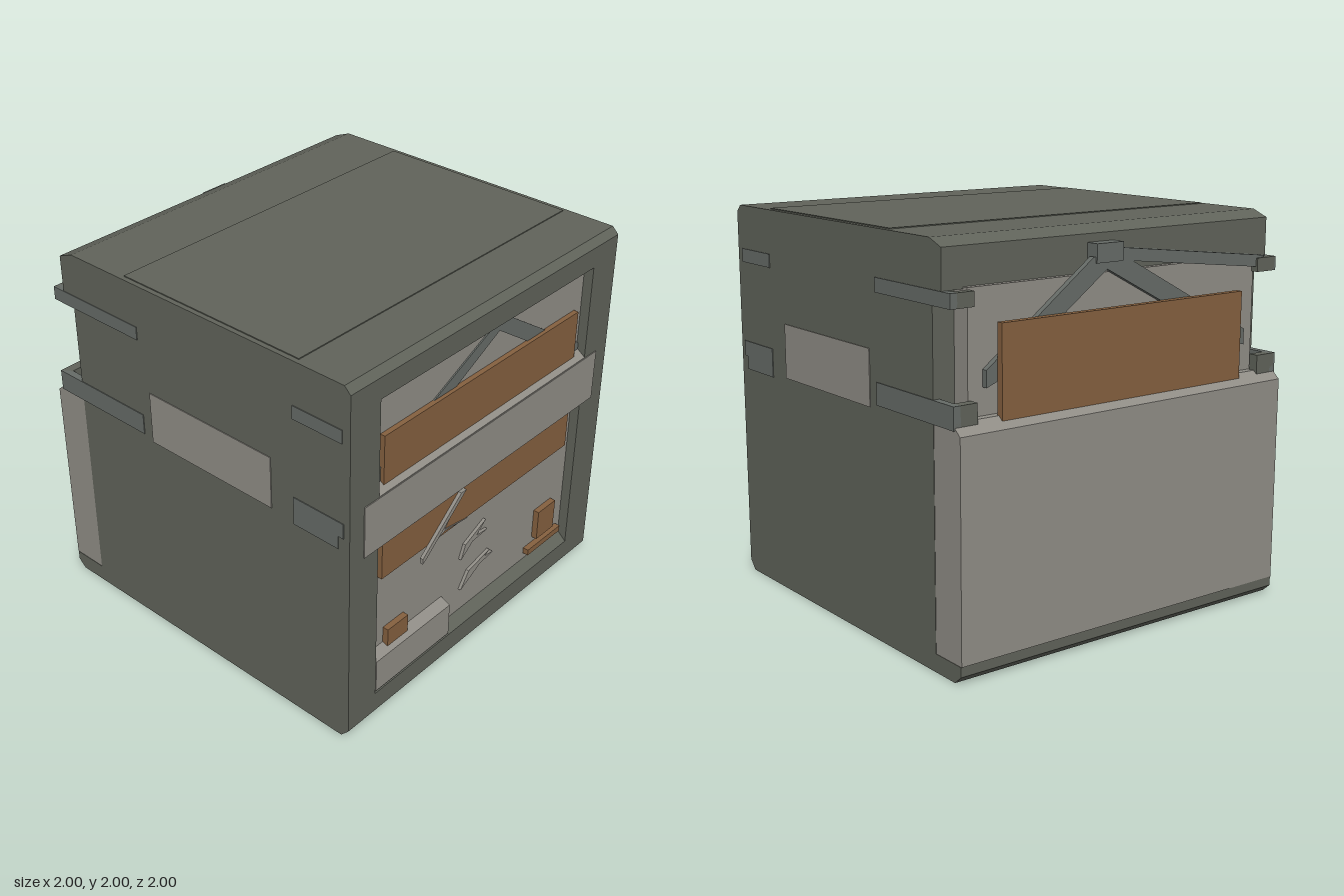
import * as THREE from 'three';

const paint = (color) => new THREE.MeshStandardMaterial({ color, flatShading: true, side: THREE.DoubleSide });

export function createModel() {
  const root = new THREE.Group();
  const metal = paint(0x60635a);
  const strapMetal = paint(0x666b67);
  const grey = paint(0x908d86);
  const wood = paint(0x85603f);

  function add(name, geometry, material) {
    const mesh = new THREE.Mesh(geometry, material);
    mesh.name = name;
    root.add(mesh);
    return mesh;
  }

  // Box given by its lower and upper limits on each axis
  function box(name, material, x0, x1, y0, y1, z0, z1) {
    const mesh = add(name, new THREE.BoxGeometry(x1 - x0, y1 - y0, z1 - z0), material);
    mesh.position.set((x0 + x1) / 2, (y0 + y1) / 2, (z0 + z1) / 2);
    return mesh;
  }

  const outline = (points) => new THREE.Shape(points.map(([a, b]) => new THREE.Vector2(a, b)));

  // Side profile of [z, y] points, swept from x0 to x1
  function sweep(name, material, x0, x1, points) {
    const geometry = new THREE.ExtrudeGeometry(outline(points), { depth: x1 - x0, bevelEnabled: false });
    geometry.rotateY(-Math.PI / 2).translate(x1, 0, 0);
    return add(name, geometry, material);
  }

  // Flat outline of [x, y] points with a thickness in z
  function plate(name, material, z0, z1, points) {
    const geometry = new THREE.ExtrudeGeometry(outline(points), { depth: z1 - z0, bevelEnabled: false });
    return add(name, geometry.translate(0, 0, z0), material);
  }

  // Shell: full-depth sides and a middle with a recessed front
  const back = [[0.95, 0], [-0.95, 0], [-0.995, 0.04], [-0.995, 0.09], [-0.8, 0.09], [-0.8, 1.77],
    [-0.87, 1.77], [-0.87, 1.96], [-0.78, 1.995], [0.96, 1.995], [0.995, 1.96]];
  const recess = [[0.995, 1.85], [0.94, 1.81], [0.94, 0.21], [0.995, 0.16]];
  sweep('shellMiddle', metal, -0.8, 0.8, [...back, ...recess, [0.995, 0.05]]);
  for (const s of [-1, 1]) {
    const a = s * 0.8, b = s * 0.995;
    sweep('shellSide', metal, Math.min(a, b), Math.max(a, b), [...back, [0.995, 0.05]]);
  }
  box('roofPanel', metal, -0.97, 0.97, 1.98, 2, -0.43, 0.68);

  // Recessed front panel
  box('frontPanel', grey, -0.8, 0.8, 0.2, 1.82, 0.935, 0.943);

  // Rear lower wall with a sloped cap, and the upper rear panel
  sweep('rearWall', grey, -0.993, 0.993,
    [[0.76, 0.09], [-1, 0.09], [-1, 1.15], [-0.94, 1.2], [-0.8, 1.2], [-0.8, 1.15], [0.76, 1.15]]);
  box('rearPanel', grey, -0.88, 0.88, 1.2, 1.78, -0.9, -0.79);

  // Leaning braces, front and back
  const braces = [
    [[0.04, 1.87], [-0.8, 1.42], [-0.8, 1.34], [-0.72, 1.36], [0.17, 1.83]],
    [[0.19, 1.86], [0.8, 1.41], [0.8, 1.33], [0.72, 1.36], [0.05, 1.84]],
  ];
  const clip = (p) => p.map(([x, y]) => [x, Math.min(y, 1.815)]);
  for (const p of braces) {
    plate('frontBrace', strapMetal, 0.943, 0.95, clip(p));
    plate('rearBrace', strapMetal, -0.93, -0.9, p);
  }
  plate('rearTopBrace', strapMetal, -0.93, -0.89,
    [[0.1, 1.9], [0.1, 1.84], [-0.92, 1.72], [-0.92, 1.78]]);
  box('rearHinge', strapMetal, 0.02, 0.18, 1.83, 1.92, -0.94, -0.87);

  // Timber boards
  box('frontUpperBoard', wood, -0.74, 0.74, 1.36, 1.62, 0.94, 0.97);
  box('frontLowerBoard', wood, -0.74, 0.74, 0.82, 1.03, 0.94, 0.97);
  box('rearBoard', wood, -0.74, 0.74, 1.13, 1.62, -0.965, -0.93);

  // Crossbar over the front opening
  sweep('crossbarCore', grey, -0.8, 0.8, [[0.94, 1.38], [0.996, 1.34], [0.996, 1.05], [0.94, 1.01]]);
  box('crossbarPlate', grey, -0.9, 0.9, 1.055, 1.335, 0.98, 1);

  // Low box, ledge and wooden blocks inside the front opening
  sweep('lowBox', grey, -0.8, -0.24, [[0.94, 0.17], [1, 0.18], [1, 0.365], [0.94, 0.39]]);
  box('block', wood, -0.69, -0.54, 0.38, 0.48, 0.94, 0.975);
  box('block', wood, 0.54, 0.69, 0.315, 0.49, 0.94, 0.975);
  box('block', wood, 0.47, 0.76, 0.245, 0.28, 0.94, 0.975);

  // Torn splinters on the front panel
  const splinters = [
    [0.972, 0.99, [[-0.46, 0.75], [-0.43, 0.77], [-0.14, 1.02], [-0.18, 1.02], [-0.46, 0.78]]],
    [0.971, 0.976, [[-0.43, 0.79], [-0.28, 0.84], [-0.1, 0.82], [-0.28, 0.85], [-0.15, 1.02]]],
    [0.943, 0.96, [[-0.11, 0.55], [-0.02, 0.62], [0.1, 0.63], [0.01, 0.64], [0.08, 0.7], [-0.08, 0.63]]],
    [0.943, 0.96, [[-0.1, 0.35], [0.05, 0.43], [0.16, 0.45], [0.09, 0.46], [0.13, 0.48], [-0.04, 0.44]]],
  ];
  for (const [z0, z1, p] of splinters) plate('splinter', grey, z0, z1, p);

  // Straps and panels on both sides
  for (const s of [-1, 1]) {
    const side = (name, material, y0, y1, z0, z1) =>
      box(name, material, s * 0.98 - 0.019, s * 0.98 + 0.019, y0, y1, z0, z1);
    side('sidePanel', grey, 1.15, 1.43, -0.28, 0.52);
    side('strap', strapMetal, 1.7, 1.77, 0.66, 0.95);
    side('strap', strapMetal, 1.2, 1.28, 0.66, 0.96);
    side('strap', strapMetal, 1.13, 1.2, 0.66, 0.93);
    side('strap', strapMetal, 1.7, 1.77, -0.94, -0.34);
    side('strap', strapMetal, 1.17, 1.28, -0.96, -0.34);
    // Short returns wrapping the rear corners
    const x = s * 0.93;
    box('strapReturn', metal, x - 0.06, x + 0.06, 1.7, 1.77, -0.94, -0.9);
    box('strapReturn', metal, x - 0.06, x + 0.06, 1.18, 1.28, -0.96, -0.91);
  }
  return root;
}
